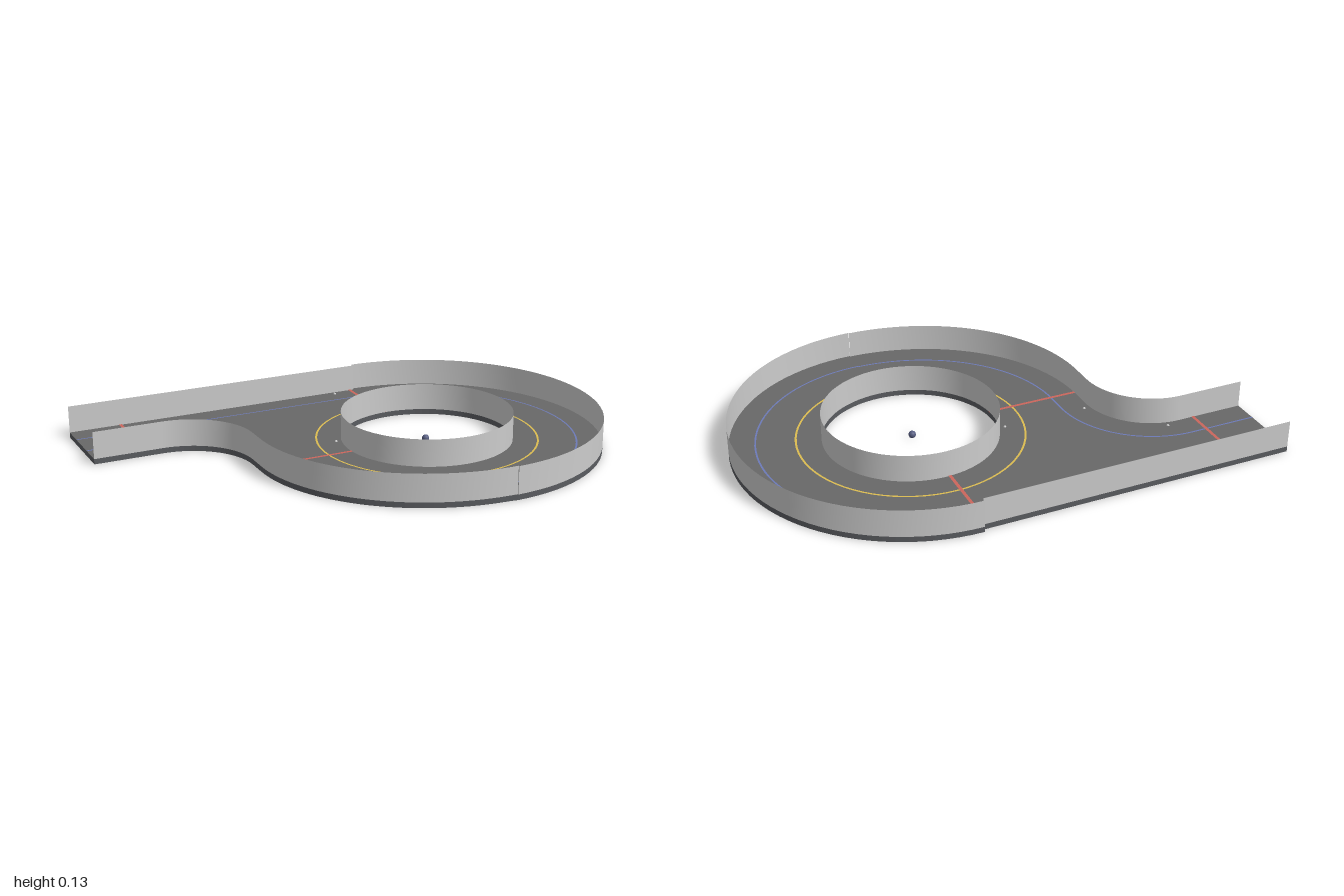
import * as THREE from 'three';

const CX = 0.29, SLAB = 0.022, TOP = 0.134, PI = Math.PI;
const mat = (color) => new THREE.MeshStandardMaterial({ color, side: THREE.DoubleSide });

// Plan points are (x, z); angle 0 points to +x, PI/2 to +z.
const P = (x, z) => new THREE.Vector2(x, z);
function arc(cx, cz, rx, rz, a0, a1, n = 32) {
  return Array.from({ length: n + 1 }, (_, i) => {
    const a = a0 + (a1 - a0) * i / n;
    return P(cx + rx * Math.cos(a), cz + rz * Math.sin(a));
  });
}

// Surface between two rails of 3D points
function strip(a, b) {
  const pos = [], idx = [];
  a.forEach((p, i) => {
    pos.push(...p.toArray(), ...b[i].toArray());
    if (i) idx.push(2 * i - 2, 2 * i - 1, 2 * i, 2 * i, 2 * i - 1, 2 * i + 1);
  });
  const g = new THREE.BufferGeometry();
  g.setAttribute('position', new THREE.Float32BufferAttribute(pos, 3));
  g.setIndex(idx);
  g.computeVertexNormals();
  return g;
}

// Upright thin wall along a plan path
const wall = (pts) => strip(
  pts.map((p) => new THREE.Vector3(p.x, SLAB, p.y)),
  pts.map((p) => new THREE.Vector3(p.x, TOP, p.y)));

// Flat painted line along a plan path
function line(pts, width, y) {
  const rail = (s) => pts.map((p, i) => {
    const t = pts[Math.min(i + 1, pts.length - 1)].clone().sub(pts[Math.max(i - 1, 0)]).normalize();
    return new THREE.Vector3(p.x + t.y * s, y, p.y - t.x * s);
  });
  return strip(rail(-width / 2), rail(width / 2));
}

export function createModel() {
  const group = new THREE.Group();
  const add = (name, geometry, material) => {
    const m = new THREE.Mesh(geometry, material);
    m.name = name;
    group.add(m);
    return m;
  };

  // Edges of the road
  const rightCurve = arc(CX, 0, 0.71, 0.703, -PI / 2, PI / 2, 48);
  const leftCurve = arc(CX, 0.02, 0.735, 0.679, PI / 2, PI, 32);
  const fillet = [...arc(-0.72, -0.07, 0.275, 0.273, 0, -PI / 2, 20), P(-1, -0.343)];
  const straight = [P(-1, -0.688), P(CX, -0.688)];
  const hole = arc(CX, 0, 0.35, 0.346, 0, 2 * PI, 72);

  // Road slab with the round opening
  const flip = (p) => P(p.x, -p.y);
  const shape = new THREE.Shape([...rightCurve, ...leftCurve.slice(1), ...fillet, ...straight].map(flip));
  shape.holes.push(new THREE.Path(hole.slice(0, -1).map(flip)));
  const slab = new THREE.ExtrudeGeometry(shape, { depth: SLAB, bevelEnabled: false });
  slab.rotateX(-PI / 2);
  add('roadSlab', slab, [mat(0x686868), mat(0x5a5c60)]);

  // Walls
  const wallMat = mat(0xcccccc);
  add('rightOuterWall', wall(rightCurve), wallMat);
  add('leftOuterWall', wall(leftCurve), wallMat);
  add('filletWall', wall([leftCurve.at(-1), ...fillet]), wallMat);
  add('straightWall', wall(straight), wallMat);
  add('innerWall', wall(hole), wallMat);

  // Painted lane lines
  const blue = mat(0x6c7ab8), yellow = mat(0xdcbc50), red = mat(0xcc665c);
  const y = SLAB + 0.001;
  add('innerLaneLine', line(arc(CX, 0, 0.45, 0.449, 0, 2 * PI, 72), 0.008, y), yellow);
  add('outerLaneLineRight', line(arc(CX, 0, 0.607, 0.6, -PI / 2, PI / 2, 48), 0.007, y), blue);
  add('outerLaneLineLeft', line(arc(CX, 0.02, 0.627, 0.577, PI / 2, PI, 32), 0.007, y), blue);
  add('filletLaneLine', line([P(-0.337, 0.02), ...arc(-0.72, -0.07, 0.383, 0.375, 0, -PI / 2, 24),
    P(-1, -0.445)], 0.007, y), blue);
  add('straightLaneLine', line([P(-1, -0.588), P(CX, -0.588)], 0.007, y), blue);

  // Stop lines across the road
  [[P(-0.785, -0.688), P(-0.785, -0.343)], [P(0.272, -0.688), P(0.272, -0.345)],
    [P(-0.445, 0.025), P(-0.058, 0.025)]]
    .forEach((pts, i) => add('stopLine' + (i + 1), line(pts, 0.013, y + 0.001), red));

  // Small studs by the walls
  const studMat = mat(0xcccccc);
  [[0.19, -0.665], [-0.66, -0.362], [-0.42, -0.107], [-0.067, -0.107]].forEach(([x, z], i) =>
    add('stud' + (i + 1), new THREE.SphereGeometry(0.006, 8, 6), studMat).position.set(x, SLAB, z));

  // Marker at the centre of the ring
  add('centreMarker', new THREE.SphereGeometry(0.015, 12, 8), mat(0x555c80)).position.set(0.285, 0.016, 0);
  return group;
}
